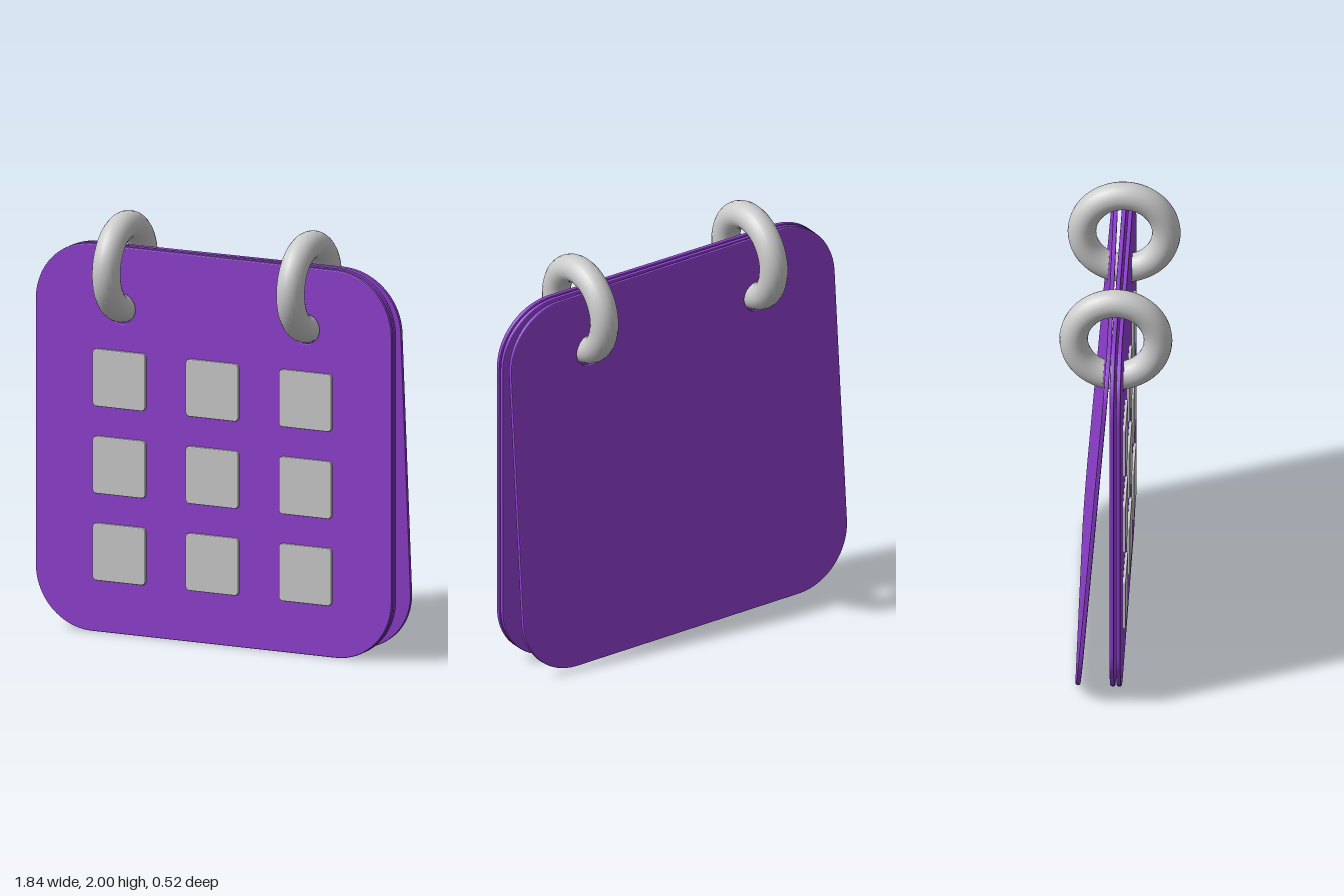
import * as THREE from 'three';

const RING_X = 0.475, RING_Y = 1.74, RING_R = 0.195, RING_TUBE = 0.066;
const PAGE = 1.836;

// Rounded square centred on the origin
function roundedSquare(size, r) {
  const h = size / 2, s = new THREE.Shape();
  s.moveTo(-h + r, -h);
  s.lineTo(h - r, -h);
  s.absarc(h - r, -h + r, r, -Math.PI / 2, 0);
  s.lineTo(h, h - r);
  s.absarc(h - r, h - r, r, 0, Math.PI / 2);
  s.lineTo(-h + r, h);
  s.absarc(-h + r, h - r, r, Math.PI / 2, Math.PI);
  s.lineTo(-h, -h + r);
  s.absarc(-h + r, -h + r, r, Math.PI, Math.PI * 1.5);
  return s;
}

// Plate with softened rims, centred on z = 0
function plate(shape, depth, bevel, curveSegments) {
  const geo = new THREE.ExtrudeGeometry(shape, {
    depth: depth - 2 * bevel, curveSegments,
    bevelThickness: bevel, bevelSize: bevel, bevelOffset: -bevel, bevelSegments: 2,
  });
  return geo.translate(0, 0, bevel - depth / 2);
}

export function createModel() {
  const model = new THREE.Group();
  model.name = 'ringCalendar';
  const purple = new THREE.MeshStandardMaterial({ color: 0x9040d0 });
  const grey = new THREE.MeshStandardMaterial({ color: 0xcccccc });

  const add = (name, geo, mat, x, y, z) => {
    const mesh = new THREE.Mesh(geo, mat);
    mesh.name = name;
    mesh.position.set(x, y, z);
    model.add(mesh);
    return mesh;
  };

  // Pages, punched where the rings pass through
  const pageShape = roundedSquare(PAGE, 0.29);
  for (const side of [-1, 1]) {
    const hole = new THREE.Path();
    hole.absarc(side * RING_X, RING_Y - RING_R - 0.92, RING_TUBE + 0.004, 0, Math.PI * 2, true);
    pageShape.holes.push(hole);
  }
  const pageGeo = plate(pageShape, 0.021, 0.005, 16);
  add('frontPage', pageGeo, purple, 0, 0.922, 0.028);
  add('middlePage', pageGeo, purple, 0, 0.922, -0.002);

  // Back page leans out as a stand and is slightly twisted
  const back = add('backPage', pageGeo, purple, 0, 0.924, -0.106);
  back.rotation.set(0.08, 0.016, 0);

  // Grid of day tiles
  const tileGeo = plate(roundedSquare(0.272, 0.02), 0.02, 0.004, 5);
  for (const y of [1.21, 0.797, 0.385]) {
    for (const x of [-0.482, -0.002, 0.478]) add('dayTile', tileGeo, grey, x, y, 0.042);
  }

  // Binding rings
  const ringGeo = new THREE.TorusGeometry(RING_R, RING_TUBE, 20, 56).rotateY(Math.PI / 2);
  for (const side of [-1, 1]) add('bindingRing', ringGeo, grey, side * RING_X, RING_Y, 0);

  return model;
}
